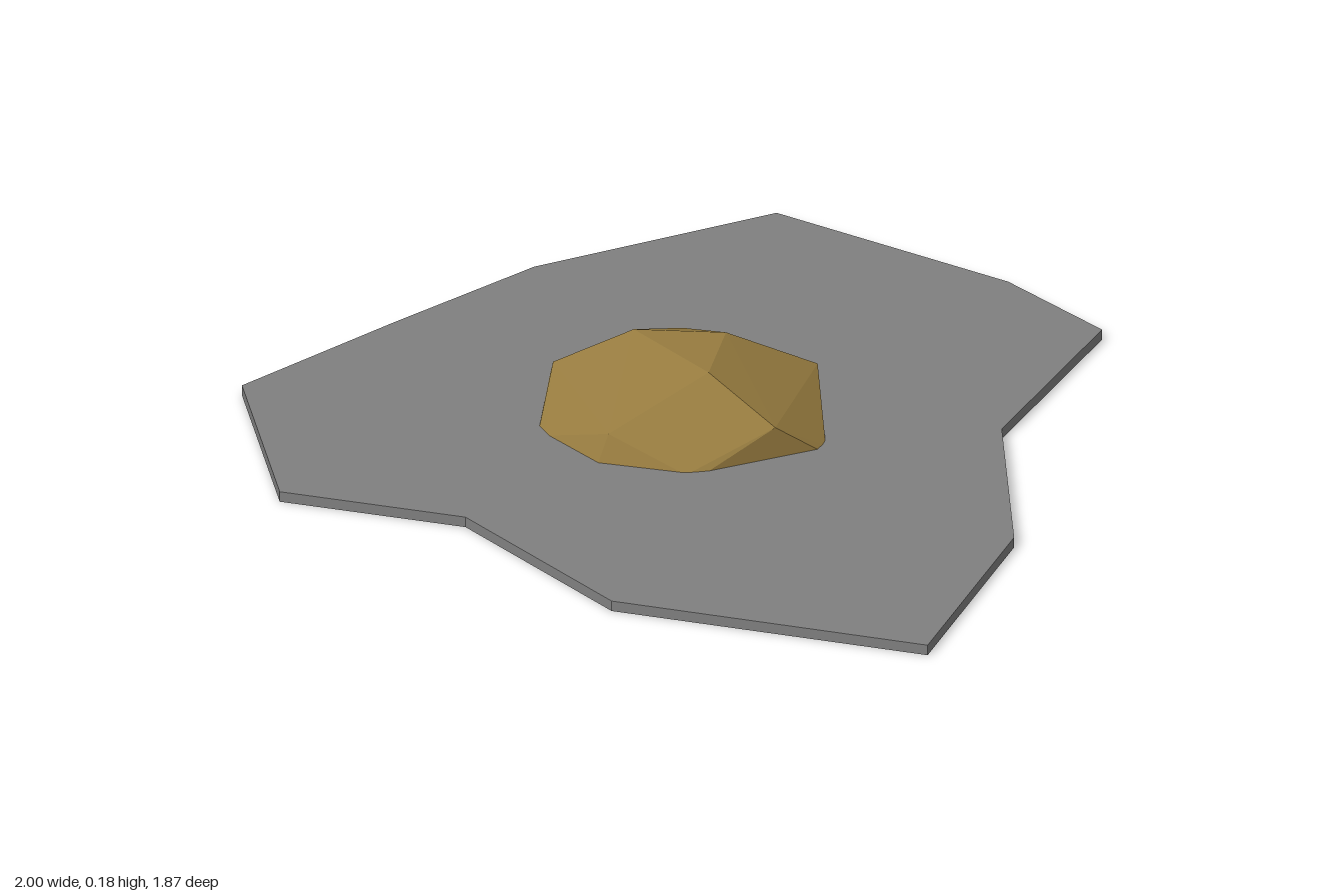
import * as THREE from 'three';
import { ConvexGeometry } from 'three/addons/geometries/ConvexGeometry.js';

const THICKNESS = 0.024;

// Irregular flat slab, outline given as [x, z]
function makeSlab(material) {
  const outline = [
    [-0.54, -0.94], [0.08, -0.93], [0.39, -0.84], [0.5, -0.29],
    [0.84, 0.16], [1, 0.73], [0.3, 0.93], [-0.21, 0.75],
    [-0.62, 0.87], [-1, 0.46], [-0.91, 0], [-0.82, -0.41],
  ];
  const shape = new THREE.Shape(outline.map(([x, z]) => new THREE.Vector2(x, -z)));
  const geometry = new THREE.ExtrudeGeometry(shape, { depth: THICKNESS, bevelEnabled: false });
  geometry.rotateX(-Math.PI / 2);
  const slab = new THREE.Mesh(geometry, material);
  slab.name = 'groundSlab';
  return slab;
}

// Faceted boulder: crown, shoulder and foot rings wrapped in a convex hull
function makeRock(material) {
  const crown = [[-0.27, 0.178, 0.01], [-0.01, 0.176, 0.1], [-0.09, 0.181, -0.085]];
  const shoulder = [
    [-0.415, 0.1, 0.11], [0.17, 0.092, 0.105], [-0.125, 0.082, 0.32],
    [0.05, 0.085, -0.235], [-0.31, 0.075, -0.24],
  ];
  const foot = [
    [-0.48, 0.01], [-0.47, 0.045], [-0.34, 0.275], [-0.31, 0.295], [-0.13, 0.355],
    [0.06, 0.29], [0.09, 0.26], [0.23, 0.02], [0.225, -0.01],
    [-0.01, -0.325], [-0.04, -0.325], [-0.325, -0.265],
  ].map(([x, z]) => [x, THICKNESS - 0.004, z]);
  const points = [...crown, ...shoulder, ...foot].map((p) => new THREE.Vector3(...p));
  const rock = new THREE.Mesh(new ConvexGeometry(points), material);
  rock.name = 'rock';
  return rock;
}

export function createModel() {
  const stoneGrey = new THREE.MeshStandardMaterial({ color: 0x808080 });
  stoneGrey.name = 'stoneGrey';
  const ochre = new THREE.MeshStandardMaterial({ color: 0x967b3f });
  ochre.name = 'ochre';

  const model = new THREE.Group();
  model.name = 'rockOnSlab';
  model.add(makeSlab(stoneGrey), makeRock(ochre));
  return model;
}
